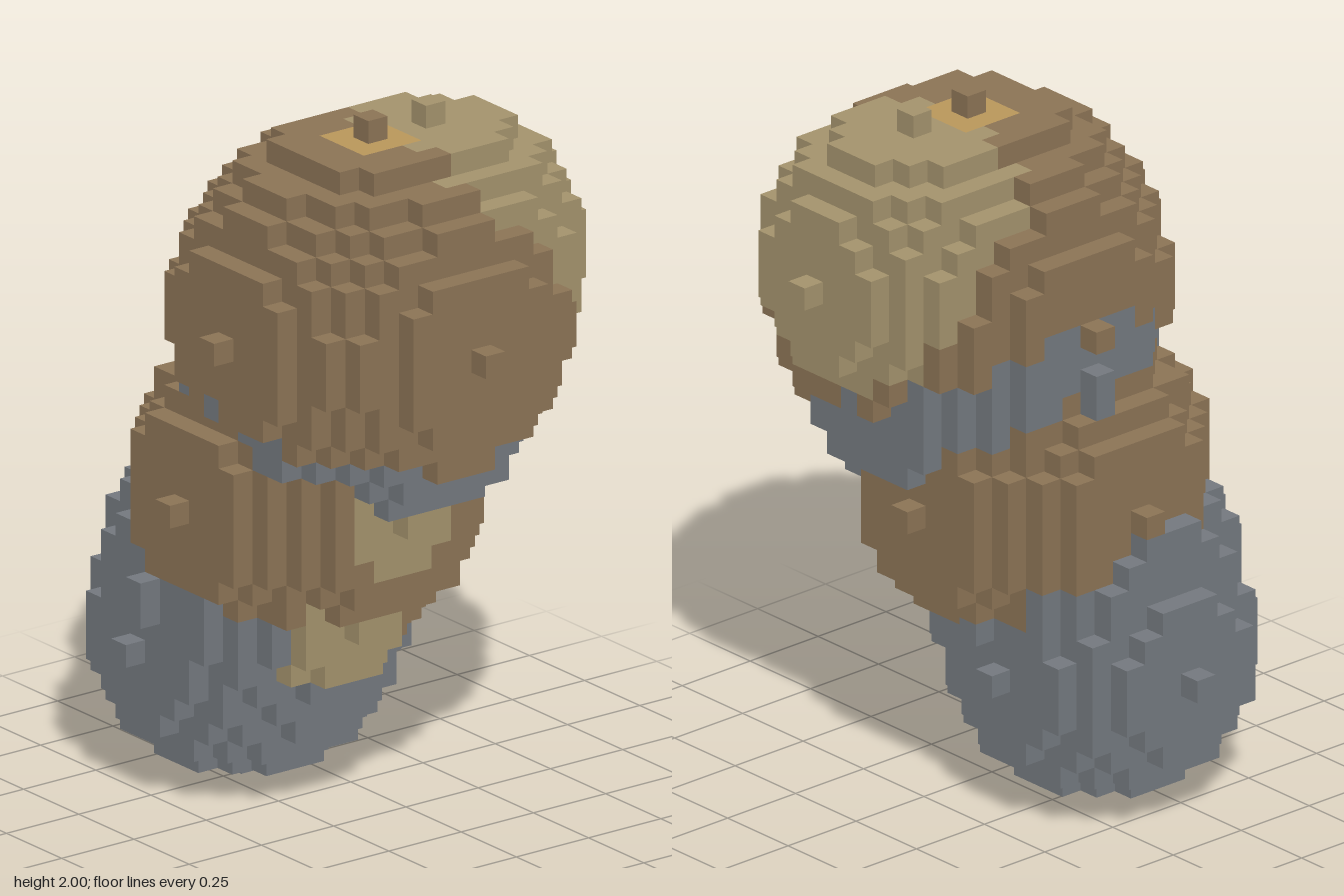
import * as THREE from 'three';

const U = 1 / 15; // edge of one cube
const BROWN = 0x8b7355, GREY = 0x73787e, TAN = 0xa3926c, ORANGE = 0xb8965a;

// Stepped balls: name, centre cell, radius in cells, colour. Later balls repaint earlier ones.
const BALLS = [
  ['base', [6, 6, 6], 6, GREY],
  ['lowerJoint', [6, 8, 7], 6, GREY],
  ['waist', [6, 9, 7], 6, GREY],
  ['nape', [8, 19, 11], 7, GREY],
  ['head', [8, 21, 12], 8, BROWN],
  ['neck', [8, 18, 11], 7, GREY],
  ['body', [7, 13, 9], 7, BROWN],
  ['sideBulge', [11, 23, 12], 6, TAN],
  ['chestPatch', [7, 13, 13], 3, TAN],
  ['bellyPatch', [6, 8, 11], 3, TAN],
];

const key = (x, y, z) => `${x},${y},${z}`;

// Fill the cell map with the index of the part that owns each cube
function fillCells() {
  const cells = new Map();
  BALLS.forEach(([, [cx, cy, cz], r], part) => {
    for (let x = -r; x <= r; x++)
      for (let y = -r; y <= r; y++)
        for (let z = -r; z <= r; z++)
          if (x * x + y * y + z * z <= r * r)
            cells.set(key(cx + x, cy + y, cz + z), part);
  });
  // crown patch around the top stud
  for (let x = 7; x <= 9; x++)
    for (let z = 11; z <= 13; z++) cells.set(key(x, 28, z), BALLS.length);
  return cells;
}

// Exposed cube faces of one part
function partGeometry(cells, part) {
  const pos = [], nor = [];
  for (const [k, owner] of cells) {
    if (owner !== part) continue;
    const c = k.split(',').map(Number);
    for (let axis = 0; axis < 3; axis++) {
      for (const s of [-1, 1]) {
        const next = [...c];
        next[axis] += s;
        if (cells.has(key(...next))) continue;
        const u = (axis + 1) % 3, v = (axis + 2) % 3;
        const corner = (a, b) => {
          const p = [...c];
          p[axis] += s / 2;
          p[u] += a / 2 * s;
          p[v] += b / 2;
          return [(p[0] - 8.5) * U, (p[1] + 0.5) * U, (p[2] - 10) * U];
        };
        const q = [corner(-1, -1), corner(1, -1), corner(1, 1), corner(-1, 1)];
        const n = [0, 0, 0];
        n[axis] = s;
        for (const i of [0, 1, 2, 0, 2, 3]) {
          pos.push(...q[i]);
          nor.push(...n);
        }
      }
    }
  }
  const g = new THREE.BufferGeometry();
  g.setAttribute('position', new THREE.Float32BufferAttribute(pos, 3));
  g.setAttribute('normal', new THREE.Float32BufferAttribute(nor, 3));
  return g;
}

export function createModel() {
  const model = new THREE.Group();
  const cells = fillCells();
  const parts = [...BALLS.map(([name, , , color]) => [name, color]), ['crownPatch', ORANGE]];
  parts.forEach(([name, color], i) => {
    const geometry = partGeometry(cells, i);
    if (!geometry.attributes.position.count) return;
    const mesh = new THREE.Mesh(geometry, new THREE.MeshStandardMaterial({ color, flatShading: true }));
    mesh.name = name;
    model.add(mesh);
  });
  return model;
}
